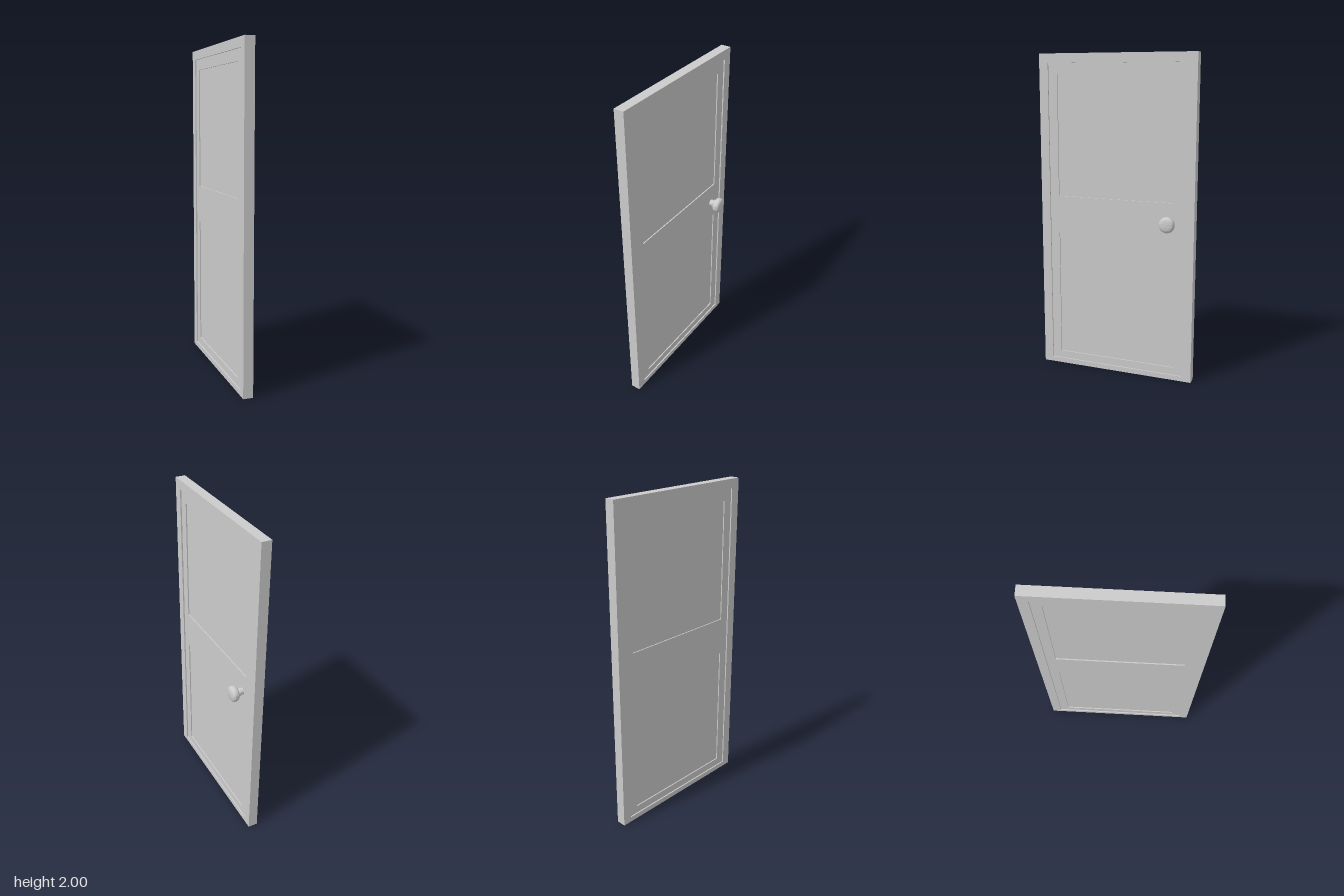
import * as THREE from 'three';
import { toCreasedNormals } from 'three/addons/utils/BufferGeometryUtils.js';

const CENTRE_X = -0.037;

// Rectangle outline with u along z and v along y
function rect(Type, u, y0, y1) {
  const p = new Type();
  p.moveTo(-u, y0);
  p.lineTo(u, y0);
  p.lineTo(u, y1);
  p.lineTo(-u, y1);
  p.closePath();
  return p;
}

// Slab in the z-y plane with rectangular openings, centred on the door's mid plane
function slab(name, outline, holes, thickness, material) {
  const shape = rect(THREE.Shape, ...outline);
  shape.holes = holes.map((h) => rect(THREE.Path, ...h));
  const geo = new THREE.ExtrudeGeometry(shape, { depth: thickness, bevelEnabled: false });
  geo.translate(0, 0, -thickness / 2);
  geo.rotateY(-Math.PI / 2);
  const mesh = new THREE.Mesh(geo, material);
  mesh.name = name;
  mesh.position.x = CENTRE_X;
  return mesh;
}

export function createModel() {
  const group = new THREE.Group();
  group.name = 'door';
  const material = new THREE.MeshStandardMaterial({ color: 0xcccccc });

  // Each layer steps back equally on both faces
  const leaf = [0.442, 0.032, 1.943];
  const panels = [[0.384, 0.08, 0.884], [0.384, 1.122, 1.876]];
  group.add(slab('outerFrame', [0.5, 0, 2], [leaf], 0.06, material));
  group.add(slab('leaf', leaf, panels, 0.044, material));
  group.add(slab('lowerPanel', panels[0], [], 0.03, material));
  group.add(slab('upperPanel', panels[1], [], 0.03, material));

  // Knob with its stem and collar, turned about the x axis
  const profile = [
    [0, -0.018], [0.021, -0.018], [0.021, 0.004], [0.025, 0.004], [0.025, 0.014], [0.023, 0.019],
  ].map(([r, x]) => new THREE.Vector2(r, x));
  const bulb = new THREE.SplineCurve([
    [0.023, 0.019], [0.037, 0.021], [0.0455, 0.03], [0.048, 0.042],
    [0.0455, 0.054], [0.037, 0.0625], [0.022, 0.066],
  ].map(([r, x]) => new THREE.Vector2(r, x)));
  profile.push(...bulb.getPoints(24).slice(1), new THREE.Vector2(0, 0.066));
  const knobGeo = new THREE.LatheGeometry(profile, 40);
  knobGeo.rotateZ(-Math.PI / 2);
  const knob = new THREE.Mesh(toCreasedNormals(knobGeo, 0.6), material);
  knob.name = 'knob';
  knob.position.set(0, 1, -0.346);
  group.add(knob);

  return group;
}
